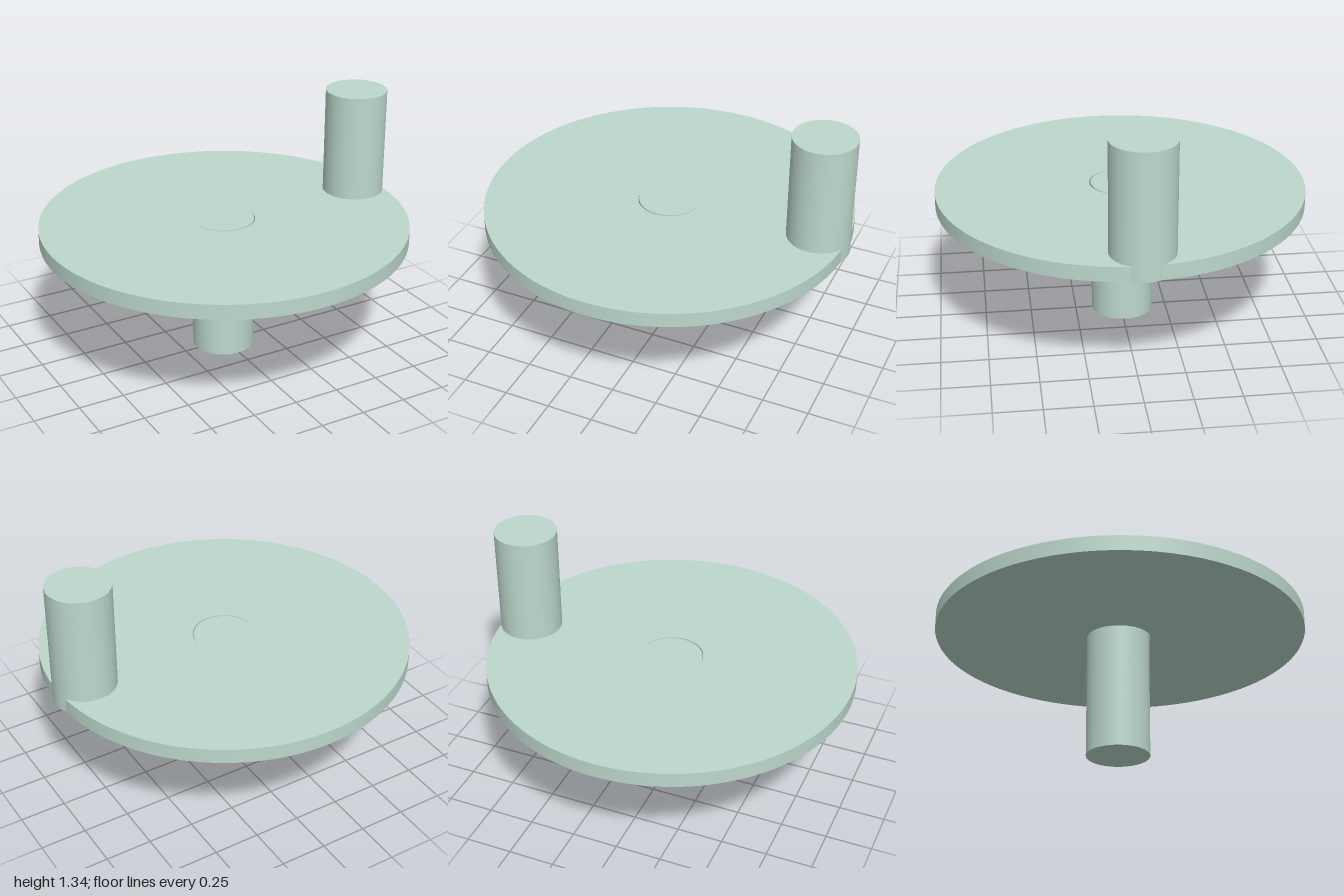
import * as THREE from 'three';
import { toCreasedNormals } from 'three/addons/utils/BufferGeometryUtils.js';

const DISC_BOTTOM = 0.672, DISC_TOP = 0.753, TOP = 1.34;
const DISC_RADIUS = 0.9925, PIN_RADIUS = 0.168;
const CENTRE_X = -0.0075, PIN_Z = -0.01;

export function createModel() {
  const group = new THREE.Group();
  group.name = 'crankDisc';
  const material = new THREE.MeshStandardMaterial({ color: 0xbcd8cc });

  const add = (name, geometry, x, y, z) => {
    const mesh = new THREE.Mesh(geometry, material);
    mesh.name = name;
    mesh.position.set(x, y, z);
    group.add(mesh);
  };

  // Upright solid rod between two heights
  const rod = (name, x, y0, y1) => add(
    name,
    new THREE.CylinderGeometry(PIN_RADIUS, PIN_RADIUS, y1 - y0, 64),
    x, (y0 + y1) / 2, PIN_Z
  );

  // Flat disc with a bore for the shaft
  const outline = new THREE.Shape().absarc(0, 0, DISC_RADIUS, 0, Math.PI * 2, false);
  outline.holes.push(new THREE.Path().absarc(0, 0, PIN_RADIUS, 0, Math.PI * 2, true));
  const disc = new THREE.ExtrudeGeometry(outline, {
    depth: DISC_TOP - DISC_BOTTOM, bevelEnabled: false, curveSegments: 128,
  }).rotateX(-Math.PI / 2);
  add('disc', toCreasedNormals(disc, 0.6), CENTRE_X, DISC_BOTTOM, 0);

  // Shaft sits slightly off the bore centre, leaving a thin crescent gap
  rod('shaft', CENTRE_X, 0, DISC_TOP);

  // Handle pin runs through the rim and just overhangs it
  rod('handlePin', 1 - PIN_RADIUS, DISC_BOTTOM, TOP);

  return group;
}
